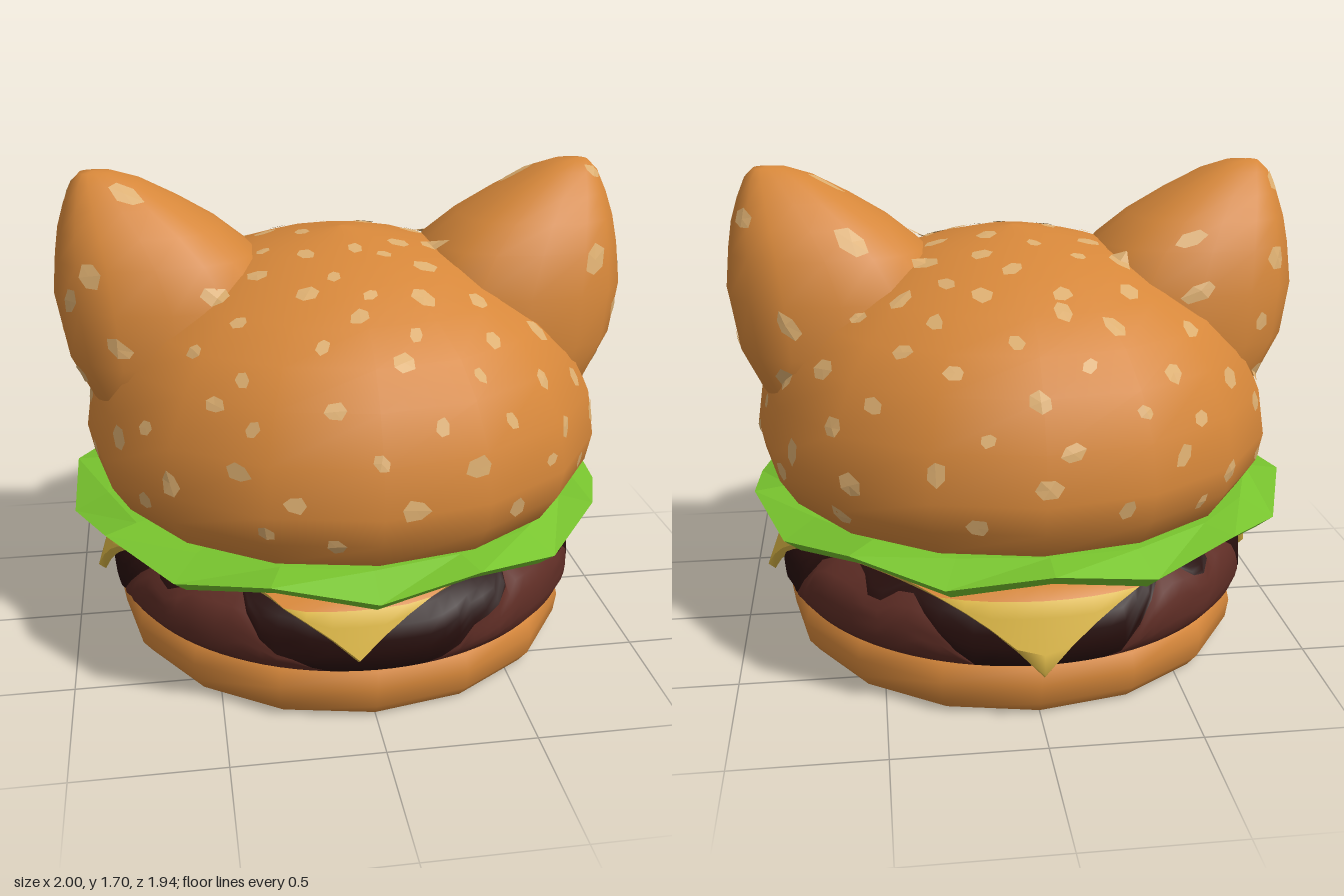
import * as THREE from 'three';

const TAU = Math.PI * 2;
const mat = (name, color, extra = {}) => {
  const m = new THREE.MeshStandardMaterial({ color, ...extra });
  m.name = name;
  return m;
};

// Closed loft: point(j, angle) gives the point on ring j; rings run bottom centre -> outside -> top centre.
// Angle 0 faces +z and grows towards +x. With groupOf, each band gets its own material index.
function loft(rings, segs, point, groupOf) {
  const pos = [], idx = [], g = new THREE.BufferGeometry();
  for (let j = 0; j < rings; j++)
    for (let i = 0; i < segs; i++) pos.push(...point(j, (i / segs) * TAU));
  for (let j = 0; j < rings - 1; j++) {
    if (groupOf) g.addGroup(idx.length, segs * 6, groupOf(j));
    for (let i = 0; i < segs; i++) {
      const n = (i + 1) % segs;
      const a = j * segs + i, b = j * segs + n, c = a + segs, d = b + segs;
      idx.push(a, b, d, a, d, c);
    }
  }
  g.setAttribute('position', new THREE.Float32BufferAttribute(pos, 3));
  g.setIndex(idx);
  g.computeVertexNormals();
  return g;
}

// Round body from a [radius, y] profile
const round = (profile, segs = 16) => loft(profile.length, segs, (j, a) => {
  const [r, y] = profile[j];
  return [r * Math.sin(a), y, r * Math.cos(a)];
});

// Ear: stacked blunt ovals of [y, inner x, outer x, half depth]
const EAR = [
  [0.8, 0.3, 0.78, 0.3], [0.95, 0.28, 0.895, 0.35], [1.1, 0.22, 0.97, 0.37], [1.28, 0.2, 1.0, 0.35],
  [1.42, 0.31, 0.985, 0.3], [1.51, 0.42, 0.97, 0.24], [1.59, 0.55, 0.945, 0.175],
  [1.66, 0.68, 0.915, 0.105], [1.69, 0.77, 0.885, 0.05], [1.695, 0.84, 0.842, 0.001],
];
const blunt = (v) => Math.sign(v) * Math.abs(v) ** 0.8;
const earGeometry = (side) => loft(EAR.length, 16, (j, a) => {
  const [y, x0, x1, d] = EAR[j];
  return [side * (x0 + x1) / 2 + (x1 - x0) / 2 * blunt(Math.sin(a)), y, d * blunt(Math.cos(a))];
});

// Patty radius at a height, and the wavy height where the char begins
const PATTY = [[0.19, 0.82], [0.24, 0.86], [0.34, 0.855], [0.4, 0.82], [0.45, 0.72]];
function pattyRadius(y) {
  let k = 0;
  while (k < PATTY.length - 2 && y > PATTY[k + 1][0]) k++;
  const [y0, r0] = PATTY[k], [y1, r1] = PATTY[k + 1];
  return THREE.MathUtils.mapLinear(y, y0, y1, r0, r1);
}
function charLine(a) {
  const q = TAU / 4;
  const d = Math.abs(a - Math.round(a / q) * q);
  const y = 0.19 + 0.24 * THREE.MathUtils.smoothstep(d, 0.18, 0.6);
  return Math.max(0.19, y - 0.06 * Math.max(0, Math.sin(13 * a + 1)));
}
function pattyBand(from, to, capFirst) {
  return loft(8, 96, (j, a) => {
    const cap = capFirst ? j === 0 : j === 7;
    const t = THREE.MathUtils.clamp(capFirst ? (j - 1) / 6 : j / 6, 0, 1);
    const y = THREE.MathUtils.lerp(from(a), to(a), t);
    const r = cap ? 0.001 : pattyRadius(y);
    return [r * Math.sin(a), y, r * Math.cos(a)];
  });
}

// Cheese: a square slice whose four corners fold down over the patty
function cheeseGeometry() {
  const top = [0, 0.4, 0.7, 0.78, 0.84, 0.9, 0.97, 1.03, 1.1];
  const n = top.length;
  return loft(n * 2, 64, (j, a) => {
    const under = j < n;
    const sx = Math.sin(a), cz = Math.cos(a);
    const edge = 1 / (Math.abs(sx) / 1.1 + Math.abs(cz) / (cz > 0 ? 1.02 : 1.1));
    const s = Math.min(top[under ? j : 2 * n - 1 - j], edge);
    const bend = THREE.MathUtils.clamp((s - 0.74) / 0.1, 0, 1), hang = Math.max(0, s - 0.84) / 0.26;
    const r = 0.74 + Math.min(0, s - 0.74) + 0.1 * bend + 0.08 * hang - (under ? 0.025 * bend : 0);
    const y = 0.475 - 0.045 * bend - 0.22 * hang - (under ? 0.02 : 0);
    return [r * sx - 0.07 * Math.max(0, cz) * bend, y, r * cz];
  }, (j) => (j >= 2 * n - 5 ? 1 : 0));
}

// Lettuce: thin disc with a rim that goes up and down nine times
function lettuceGeometry() {
  const profile = [[0.001, 0.54, 0], [0.76, 0.55, 0], [0.91, 0.525, 0.055], [0.97, 0.575, 0.055],
    [0.85, 0.585, 0.01], [0.001, 0.58, 0]];
  return loft(profile.length, 18, (j, a) => {
    const [r, y, drop] = profile[j];
    const low = 0.5 + 0.5 * Math.cos(9 * a);
    return [r * Math.sin(a) - 0.02, y - drop * low, r * Math.cos(a)];
  });
}

// Sesame seeds: small irregular patches laid on the bun and ears
function seedGeometry(targets) {
  let state = 7;
  const rand = () => (state = (state * 16807) % 2147483647) / 2147483647;
  const centre = new THREE.Vector3(0, 0.8, 0), ray = new THREE.Raycaster();
  const hit = (dir) => {
    ray.set(centre.clone().addScaledVector(dir, 3), dir.clone().negate());
    const h = ray.intersectObjects(targets)[0];
    return h && h.point.addScaledVector(h.face.normal, 0.005);
  };
  const pos = [], count = 125;
  for (let i = 0; i < count; i++) {
    const up = 0.98 - 1.13 * (i + 0.5) / count + (rand() - 0.5) * 0.05;
    const a = i * 2.39996 + (rand() - 0.5) * 0.2, flat = Math.sqrt(1 - up * up);
    const dir = new THREE.Vector3(flat * Math.sin(a), up, flat * Math.cos(a));
    const mid = hit(dir);
    if (!mid) continue;
    const size = (0.024 + 0.015 * rand()) / mid.distanceTo(centre);
    const u = new THREE.Vector3(Math.cos(a), 0, -Math.sin(a)), v = dir.clone().cross(u);
    const turn = rand() * TAU, corners = [];
    for (let k = 0; k < 6; k++) {
      const t = (k / 6) * TAU, s = size * (0.8 + 0.4 * rand());
      const p = Math.cos(t) * s * 1.2, q = Math.sin(t) * s * 0.9;
      const c = Math.cos(turn), w = Math.sin(turn);
      corners.push(hit(dir.clone().addScaledVector(u, p * c - q * w).addScaledVector(v, p * w + q * c).normalize()));
    }
    if (corners.some((c) => !c || c.distanceTo(mid) > 0.08)) continue;
    corners.forEach((c, k) => pos.push(...mid, ...c, ...corners[(k + 1) % 6]));
  }
  const g = new THREE.BufferGeometry();
  g.setAttribute('position', new THREE.Float32BufferAttribute(pos, 3));
  g.computeVertexNormals();
  return g;
}

export function createModel() {
  const group = new THREE.Group();
  group.name = 'catBurger';
  const bun = mat('bun orange', 0xd6873a);
  const seed = mat('seed cream', 0xdcae70, { side: THREE.DoubleSide });
  const green = mat('lettuce green', 0x78c42e, { flatShading: true });
  const yellow = mat('cheese yellow', 0xdcb746);
  const brown = mat('patty brown', 0x5e2d25);
  const char = mat('char brown', 0x260e0c);
  const add = (name, geometry, material) => {
    const m = new THREE.Mesh(geometry, material);
    m.name = name;
    group.add(m);
    return m;
  };

  add('bottomBun', round([[0.001, 0], [0.76, 0], [0.79, 0.005], [0.825, 0.05], [0.835, 0.12],
    [0.82, 0.18], [0.79, 0.19], [0.001, 0.19]]), bun);
  add('patty', pattyBand(() => 0.19, charLine, true), brown);
  add('pattyChar', pattyBand(charLine, () => 0.45, false), char);
  add('cheese', cheeseGeometry(), [yellow, bun]);
  add('fillingSlice', round([[0.001, 0.47], [0.72, 0.47], [0.76, 0.49], [0.76, 0.53], [0.72, 0.55], [0.001, 0.55]]), bun);
  add('lettuce', lettuceGeometry(), green);

  const top = [
    add('topBun', round([[0.001, 0.57], [0.78, 0.57], [0.84, 0.585], [0.9, 0.68], [0.92, 0.78], [0.895, 0.94],
      [0.82, 1.09], [0.73, 1.2], [0.6, 1.29], [0.45, 1.375], [0.3, 1.425], [0.15, 1.46], [0.001, 1.48]]), bun),
    add('leftEar', earGeometry(1), bun),
    add('rightEar', earGeometry(-1), bun),
  ];
  add('sesameSeeds', seedGeometry(top), seed);
  return group;
}
